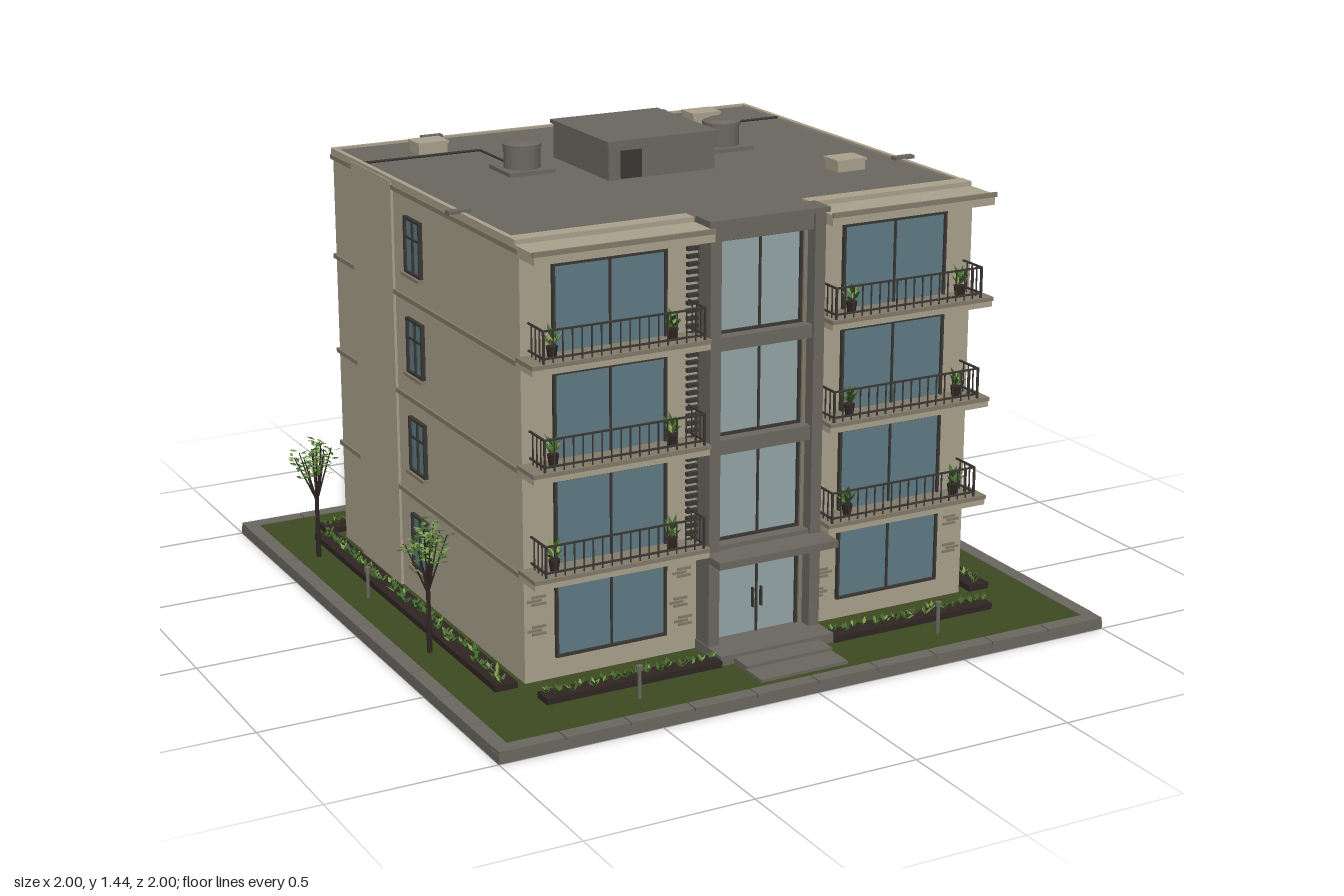
import * as THREE from 'three';
import { mergeGeometries } from 'three/addons/utils/BufferGeometryUtils.js';

const mat = (name, color, side = THREE.FrontSide) => {
  const m = new THREE.MeshStandardMaterial({ color, side });
  m.name = name;
  return m;
};

export function createModel() {
  const wall = mat('beige render', 0xaaa18c), trim = mat('trim', 0x827a69);
  const concrete = mat('concrete', 0x6b6760), dark = mat('dark metal', 0x3a3733);
  const glass = mat('window glass', 0x5f7a84), paleGlass = mat('pale glass', 0x93a4a6);
  const lawnGreen = mat('lawn', 0x3c4a20), soil = mat('soil and bark', 0x2f2623);
  const leafDark = mat('leaf', 0x42682c, THREE.DoubleSide);
  const leafLight = mat('light leaf', 0x7c9a4c, THREE.DoubleSide);

  const model = new THREE.Group();
  model.name = 'apartmentBlock';
  const group = (name, parent = model) => {
    const g = new THREE.Group();
    g.name = name;
    parent.add(g);
    return g;
  };
  let seed = 7;
  const rnd = (a = 0, b = 1) => {
    seed = (seed * 16807) % 2147483647;
    return a + (b - a) * seed / 2147483647;
  };

  // Box geometry and mesh given by their limits on each axis
  const boxGeo = (x0, x1, y0, y1, z0, z1) =>
    new THREE.BoxGeometry(Math.abs(x1 - x0), Math.abs(y1 - y0), Math.abs(z1 - z0))
      .translate((x0 + x1) / 2, (y0 + y1) / 2, (z0 + z1) / 2);
  const add = (parent, name, geo, m) => {
    const mesh = new THREE.Mesh(geo, m);
    mesh.name = name;
    parent.add(mesh);
    return mesh;
  };
  const box = (parent, name, m, ...b) => add(parent, name, boxGeo(...b), m);
  const rod = (a, b, r0, r1 = r0, n = 6) => {
    const d = b.clone().sub(a);
    const q = new THREE.Quaternion().setFromUnitVectors(new THREE.Vector3(0, 1, 0), d.clone().normalize());
    return new THREE.CylinderGeometry(r1, r0, d.length(), n).applyQuaternion(q)
      .translate((a.x + b.x) / 2, (a.y + b.y) / 2, (a.z + b.z) / 2);
  };
  const V = (x, y, z) => new THREE.Vector3(x, y, z);

  // Leaves collected as diamonds in two tones
  const leaves = [[], []];
  const leaf = (p, dir, len, width, tone) => {
    const d = dir.clone().normalize();
    const s = V(-d.z, rnd(-0.4, 0.4), d.x).normalize().multiplyScalar(width / 2);
    const mid = p.clone().addScaledVector(d, len * 0.5), tip = p.clone().addScaledVector(d, len);
    const l = mid.clone().add(s), r = mid.clone().sub(s);
    for (const v of [p, r, tip, p, tip, l]) leaves[tone].push(v.x, v.y, v.z);
  };
  const tuft = (x, y, z, n, len, width, up) => {
    for (let i = 0; i < n; i++) {
      const a = i / n * Math.PI * 2 + rnd(0, 1);
      leaf(V(x, y, z), V(Math.cos(a), rnd(up * 0.4, up), Math.sin(a)), len * rnd(0.7, 1.1), width, rnd() < 0.3 ? 1 : 0);
    }
  };

  // Window facing +z around its own centre: frame, pane and glazing bars
  const windowUnit = (parent, name, w, h, pane, frameMat, bars, sill) => {
    const g = group(name, parent), X = w / 2, Y = h / 2, t = 0.008;
    box(g, 'pane', pane, -X, X, -Y, Y, 0, 0.004);
    const parts = [boxGeo(-X - t, -X, -Y - t, Y + t, 0, 0.012), boxGeo(X, X + t, -Y - t, Y + t, 0, 0.012),
      boxGeo(-X, X, Y, Y + t, 0, 0.012), boxGeo(-X, X, -Y - t, -Y, 0, 0.012), boxGeo(-0.003, 0.003, -Y, Y, 0, 0.01)];
    if (bars) parts.push(boxGeo(-X, X, Y * 0.3 - 0.003, Y * 0.3 + 0.003, 0, 0.009));
    add(g, 'frame', mergeGeometries(parts), frameMat);
    if (sill) box(g, 'sill', trim, -X - 0.014, X + 0.014, -Y - 0.018, -Y - t, 0, 0.02);
    return g;
  };

  // Ground: plinth, lawn and paving slabs around the edge
  const ground = group('ground');
  box(ground, 'plinth', concrete, -1, 1, 0, 0.025, -1, 1);
  box(ground, 'lawn', lawnGreen, -0.955, 0.955, 0.025, 0.033, -0.955, 0.955);
  const slabs = [];
  for (let i = 0; i < 10; i++) {
    const a = -1 + i * 0.2 + 0.002, b = a + 0.196;
    for (const s of [-1, 1]) {
      slabs.push(boxGeo(a, b, 0.025, 0.036, s * 0.955, s));
      slabs.push(boxGeo(s * 0.955, s, 0.025, 0.036, Math.max(a, -0.953), Math.min(b, 0.953)));
    }
  }
  add(ground, 'pavingSlabs', mergeGeometries(slabs), concrete);

  // Main walls, side shafts, floor bands
  const building = group('building');
  box(building, 'walls', wall, -0.74, 0.74, 0.03, 1.31, -0.725, 0.62);
  for (const s of [-1, 1]) {
    box(building, 'sideShaft', wall, s * 0.73, s * 0.748, 0.03, 1.315, -0.56, -0.25);
    for (const y of [0.357, 0.667, 0.977, 1.297]) {
      box(building, 'sideBand', trim, s * 0.73, s * 0.748, y - 0.007, y + 0.007, -0.25, 0.625);
      box(building, 'rearSideBand', trim, s * 0.73, s * 0.748, y - 0.007, y + 0.007, -0.732, -0.56);
    }
    box(building, 'parapetSide', wall, s * 0.73, s * 0.745, 1.3, 1.325, -0.73, 0.6);
    box(building, 'frontParapet', wall, s * 0.19, s * 0.745, 1.3, 1.326, 0.555, 0.605);
    box(building, 'roofCanopy', wall, s * 0.19, s * 0.745, 1.28, 1.312, 0.6, 0.725);
    box(building, 'canopyEdge', trim, s * 0.19, s * 0.75, 1.304, 1.318, 0.722, 0.73);
  }
  for (const y of [0.357, 0.667, 0.977, 1.297])
    box(building, 'backBand', trim, -0.748, 0.748, y - 0.007, y + 0.007, -0.733, -0.72);
  box(building, 'parapetBack', wall, -0.745, 0.745, 1.3, 1.325, -0.73, -0.718);
  box(building, 'roofDeck', concrete, -0.73, 0.73, 1.3, 1.318, -0.718, 0.556);
  box(building, 'roofDeckFront', concrete, -0.19, 0.19, 1.3, 1.318, 0.55, 0.65);

  // Windows on each storey
  for (let f = 0; f < 4; f++) {
    const dy = f * 0.31;
    for (const s of [-1, 1]) {
      const low = f ? 0.06 : 0.105, top = 0.315;
      windowUnit(building, 'frontWindow', 0.34, top - low, glass, dark, false, false)
        .position.set(s * 0.467, (top + low) / 2 + dy, 0.62);
      const side = windowUnit(building, 'sideWindow', 0.1, 0.155, glass, dark, true, true);
      side.position.set(s * 0.74, 0.217 + dy, -0.095);
      side.rotation.y = s * Math.PI / 2;
      const back = windowUnit(building, 'backWindow', 0.3, 0.155, glass, dark, true, true);
      back.position.set(s * 0.455, 0.215 + dy, -0.725);
      back.rotation.y = Math.PI;
    }
    const stair = windowUnit(building, 'backStairWindow', 0.07, 0.165, glass, dark, true, true);
    stair.position.set(0, 0.215 + dy, -0.725);
    stair.rotation.y = Math.PI;
  }

  // Worn brick patches beside the ground floor windows
  for (const s of [-1, 1]) for (const [x, y] of [[0.70, 0.29], [0.235, 0.29], [0.245, 0.2], [0.7, 0.2], [0.23, 0.14]])
    for (let i = 0; i < 3; i++) {
      const c = s * (x + (i % 2 ? 0.008 : -0.006));
      box(building, 'brickPatch', trim, c - 0.022, c + 0.022, y - i * 0.011 - 0.004, y - i * 0.011 + 0.004, 0.615, 0.624);
    }

  // Central glazed stair bay with pillars, beams, canopy and doors
  const bay = group('stairBay');
  box(bay, 'bayCore', concrete, -0.187, 0.187, 0.03, 1.32, 0.6, 0.64);
  for (const s of [-1, 1]) {
    box(bay, 'pillar', concrete, s * 0.152, s * 0.187, 0.03, 1.33, 0.62, 0.695);
    box(bay, 'innerJamb', trim, s * 0.14, s * 0.152, 0.05, 1.27, 0.63, 0.655);
  }
  for (const [y0, y1] of [[0.312, 0.365], [0.64, 0.684], [0.948, 0.988], [1.268, 1.33]])
    box(bay, 'beam', concrete, -0.155, 0.155, y0, y1, 0.63, 0.685);
  box(bay, 'bayCap', concrete, -0.195, 0.195, 1.318, 1.333, 0.62, 0.705);
  box(bay, 'entranceCanopy', concrete, -0.198, 0.198, 0.33, 0.352, 0.62, 0.778);
  for (const [y0, y1] of [[0.06, 0.3], [0.375, 0.63], [0.693, 0.94], [0.997, 1.258]])
    windowUnit(bay, 'bayGlazing', 0.26, y1 - y0, paleGlass, dark, false, false).position.set(0, (y0 + y1) / 2, 0.64);
  for (const s of [-1, 1])
    box(bay, 'doorHandle', dark, s * 0.012, s * 0.016, 0.14, 0.2, 0.644, 0.656);

  // Louvre screens beside the bay
  const slats = [];
  for (const s of [-1, 1]) for (let f = 1; f < 4; f++) for (let i = 0; i < 13; i++) {
    const y = 0.06 + f * 0.31 + i * 0.0225;
    slats.push(boxGeo(s * 0.19, s * 0.225, y, y + 0.011, 0.61, 0.634));
  }
  add(building, 'louvreScreens', mergeGeometries(slats), dark);

  // Balconies with railings and potted plants
  for (let f = 1; f < 4; f++) for (const s of [-1, 1]) {
    const y = 0.35 + (f - 1) * 0.31, g = group('balcony');
    box(g, 'balconySlab', wall, s * 0.2, s * 0.752, y, y + 0.024, 0.615, 0.72);
    box(g, 'slabEdge', trim, s * 0.198, s * 0.754, y + 0.018, y + 0.03, 0.615, 0.724);
    const b = y + 0.03, x0 = 0.215, x1 = 0.715, rails = [];
    for (const h of [0.012, 0.09]) {
      rails.push(boxGeo(s * x0, s * x1, b + h, b + h + 0.005, 0.711, 0.717));
      for (const x of [x0, x1]) rails.push(boxGeo(s * x - 0.003, s * x + 0.003, b + h, b + h + 0.005, 0.62, 0.717));
    }
    for (let i = 0; i <= 17; i++) {
      const x = s * (x0 + (x1 - x0) * i / 17), r = i % 17 ? 0.0017 : 0.003;
      rails.push(boxGeo(x - r, x + r, b, b + 0.092, 0.714 - r, 0.714 + r));
    }
    for (const x of [x0, x1]) for (const z of [0.64, 0.665, 0.69])
      rails.push(boxGeo(s * x - 0.0017, s * x + 0.0017, b, b + 0.092, z - 0.0017, z + 0.0017));
    add(g, 'railing', mergeGeometries(rails), dark);
    for (const x of [0.294, 0.668]) {
      add(g, 'plantPot', new THREE.CylinderGeometry(0.017, 0.012, 0.034, 10).translate(s * x, b + 0.017, 0.67), soil);
      tuft(s * x, b + 0.034, 0.67, 9, 0.05, 0.016, 1.6);
      tuft(s * x, b + 0.055, 0.67, 6, 0.045, 0.014, 2.2);
    }
  }

  // Roof: stair head, tanks, pipes, vents, scuppers
  const roof = group('roofEquipment');
  box(roof, 'stairHead', concrete, -0.18, 0.18, 1.31, 1.425, -0.305, 0.065);
  box(roof, 'stairHeadCap', concrete, -0.187, 0.187, 1.425, 1.437, -0.312, 0.072);
  box(roof, 'stairHeadDoor', dark, -0.14, -0.07, 1.32, 1.405, 0.06, 0.068);
  for (const s of [-1, 1]) {
    const x = s * 0.345, z = -0.185;
    box(roof, 'tankPad', concrete, x - 0.075, x + 0.075, 1.31, 1.33, z - 0.075, z + 0.075);
    const tank = [[0, 1.33], [0.056, 1.33], [0.056, 1.395], [0.06, 1.395], [0.06, 1.404], [0.056, 1.404], [0.042, 1.412], [0, 1.412]];
    add(roof, 'waterTank', new THREE.LatheGeometry(tank.map(p => new THREE.Vector2(...p)), 24).toNonIndexed().translate(x, 0, z), concrete)
      .geometry.computeVertexNormals();
    add(roof, 'pipe', mergeGeometries([rod(V(x, 1.322, -0.25), V(x, 1.322, -0.49), 0.004),
      rod(V(x, 1.322, -0.49), V(s * 0.735, 1.322, -0.49), 0.004)]), dark);
    box(roof, 'sideScupper', concrete, s * 0.71, s * 0.78, 1.322, 1.332, 0.225, 0.25);
    box(roof, 'backScupper', concrete, s * 0.37, s * 0.44, 1.318, 1.332, -0.738, -0.715);
  }
  for (const [x, z] of [[-0.485, -0.565], [0.485, -0.565], [0.525, 0.255]]) {
    box(roof, 'ventBox', wall, x - 0.048, x + 0.048, 1.31, 1.35, z - 0.037, z + 0.037);
    box(roof, 'ventLid', wall, x - 0.052, x + 0.052, 1.347, 1.355, z - 0.041, z + 0.041);
  }

  // Entrance steps
  box(building, 'landing', concrete, -0.19, 0.19, 0.03, 0.062, 0.61, 0.775);
  box(building, 'middleStep', concrete, -0.147, 0.142, 0.03, 0.052, 0.775, 0.845);
  box(building, 'lowerStep', concrete, -0.147, 0.142, 0.03, 0.042, 0.845, 0.93);

  // Planting beds with low shrubs
  const garden = group('garden');
  for (const s of [-1, 1]) for (const [x0, x1, z0, z1] of
    [[0.04, 0.79, -0.84, -0.772], [0.77, 0.84, -0.75, 0.635], [0.19, 0.75, 0.722, 0.782]]) {
    const long = z1 - z0 > 0.2, n = Math.round((long ? z1 - z0 : x1 - x0) / 0.034);
    box(garden, 'plantingBed', soil, s * x0, s * x1, 0.03, 0.052, z0, z1);
    for (let i = 0; i < n; i++) {
      const t = (i + 0.5) / n, j = rnd(-0.014, 0.014);
      const x = long ? (x0 + x1) / 2 + j : x0 + (x1 - x0) * t;
      const z = long ? z0 + (z1 - z0) * t : (z0 + z1) / 2 + j;
      tuft(s * x, 0.052, z, 7, 0.03, 0.012, 1.6);
    }
  }

  // Garden lights
  for (const s of [-1, 1]) for (const [x, z] of [[0.5, 0.86], [0.88, -0.2]]) {
    add(garden, 'lightPost', rod(V(s * x, 0.03, z), V(s * x, 0.12, z), 0.006, 0.006, 8), concrete);
    add(garden, 'lightHead', rod(V(s * x, 0.118, z), V(s * x, 0.132, z), 0.01, 0.01, 10), concrete);
  }

  // Trees: trunk, spreading branches and flat leaves
  for (const s of [-1, 1]) for (const z of [-0.6, 0.28]) {
    const x = s * 0.885, wood = [rod(V(x, 0.03, z), V(x, 0.25, z), 0.009, 0.006, 8)];
    for (let i = 0; i < 12; i++) {
      const a = i * 2.4, r = i < 4 ? 0.022 : rnd(0.04, 0.068), top = rnd(0.36, 0.41) + (i < 4 ? 0.025 : 0);
      const from = V(x, rnd(0.19, 0.24), z), to = V(x + Math.cos(a) * r, top, z + Math.sin(a) * r);
      wood.push(rod(from, to, 0.0035, 0.0015, 5));
      for (let k = 0; k < 16; k++) {
        const b = rnd(0, Math.PI * 2);
        const p = from.clone().lerp(to, rnd(0.5, 1.05)).add(V(rnd(-0.012, 0.012), rnd(-0.01, 0.02), rnd(-0.012, 0.012)));
        leaf(p, V(Math.cos(b), rnd(-0.2, 0.4), Math.sin(b)), rnd(0.02, 0.034), 0.012, rnd() < 0.4 ? 1 : 0);
      }
    }
    add(garden, 'treeTrunk', mergeGeometries(wood), soil);
  }
  leaves.forEach((pts, i) => {
    const geo = new THREE.BufferGeometry();
    geo.setAttribute('position', new THREE.Float32BufferAttribute(pts, 3));
    geo.computeVertexNormals();
    add(garden, i ? 'lightFoliage' : 'foliage', geo, i ? leafLight : leafDark);
  });
  return model;
}
